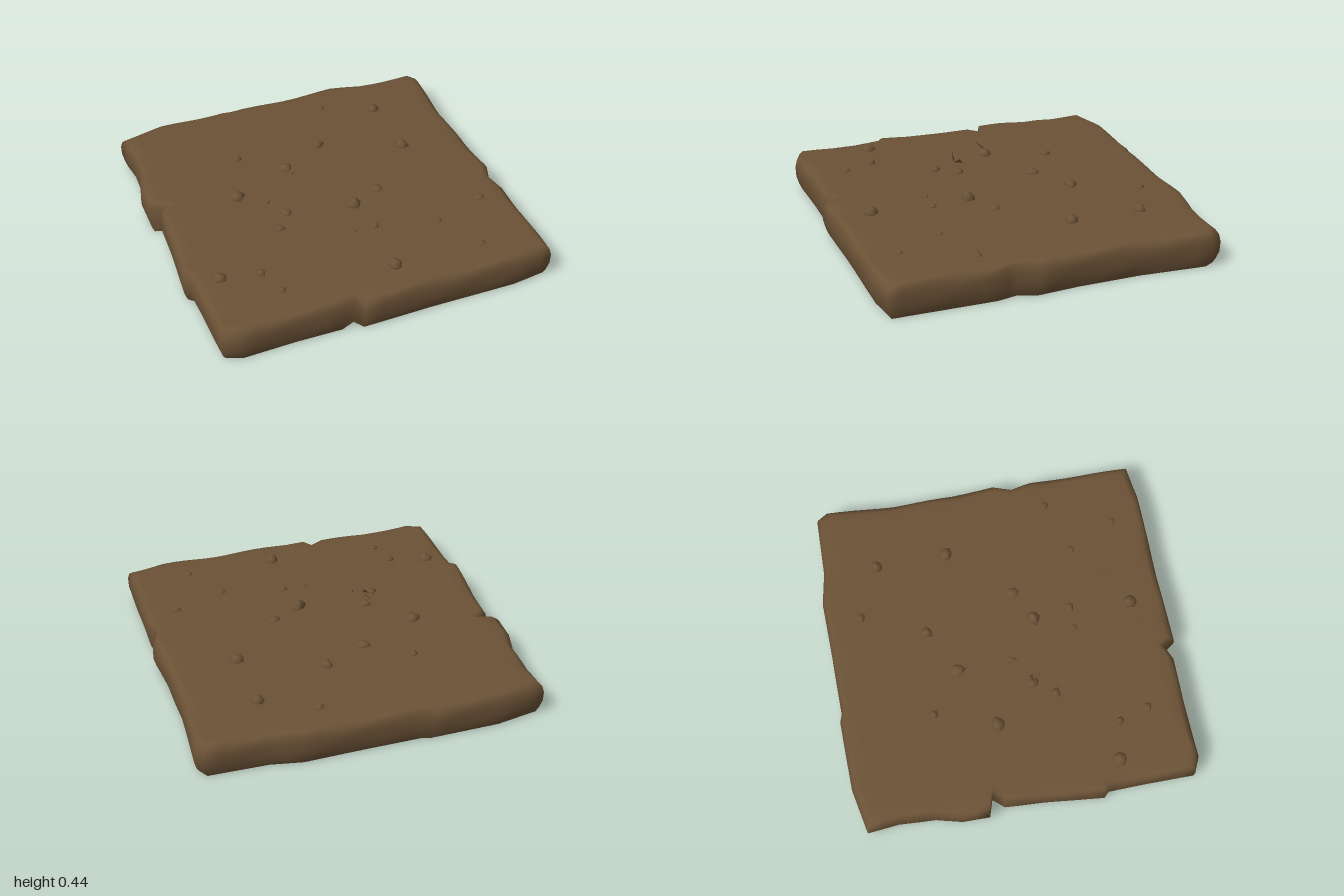
import * as THREE from 'three';

// Outline of the slab as x, z pairs, clockwise seen from above
const OUTLINE = [
  -0.97, -0.94, -0.72, -0.99, -0.31, -1, -0.26, -0.985, 0.09, -0.99, 0.43, -1, 0.62, -0.965,
  0.965, -0.96, 1, -0.9, 0.975, -0.5, 0.98, -0.13, 1, 0.12, 0.96, 0.23, 0.985, 0.35, 0.98, 0.95,
  0.78, 0.98, 0.25, 0.985, -0.16, 1, -0.2, 0.94, -0.28, 0.975, -0.55, 0.975, -0.87, 0.99,
  -0.96, 0.95, -0.97, 0.45, -1, 0.42, -0.97, 0.08, -0.955, -0.15, -0.9, -0.215, -1, -0.245,
  -1, -0.4, -0.96, -0.55, -0.95, -0.77,
];

// Clods on the surface: x, z, radius, height
const CLODS = [
  [0.28, -0.79, 0.03, 0.015], [0.58, -0.65, 0.04, 0.035], [-0.38, -0.46, 0.03, 0.02],
  [0.12, -0.42, 0.035, 0.03], [-0.14, -0.28, 0.045, 0.02], [0.59, -0.23, 0.045, 0.035],
  [-0.5, -0.11, 0.05, 0.035], [0.28, 0.11, 0.04, 0.015], [-0.29, 0.13, 0.035, 0.02],
  [0.1, 0.21, 0.045, 0.045], [-0.37, 0.25, 0.03, 0.02], [0, 0.43, 0.018, 0.01],
  [0.13, 0.43, 0.025, 0.015], [0.49, 0.51, 0.022, 0.012], [-0.82, 0.54, 0.045, 0.028],
  [-0.6, 0.58, 0.025, 0.026], [-0.55, 0.75, 0.03, 0.015], [0.1, 0.78, 0.042, 0.04],
  [0.63, 0.78, 0.022, 0.012], [0.8, 0.4, 0.03, 0.014],
];

// Thin loose splinters: three corners each
const SPLINTERS = [
  [-0.31, 0.255, 0.1, -0.27, 0.3, 0.13, -0.28, 0.28, 0.16],
  [-0.3, 0.27, 0.15, -0.26, 0.36, 0.18, -0.285, 0.3, 0.17],
  [-0.32, 0.27, 0.14, -0.28, 0.32, 0.11, -0.27, 0.3, 0.13],
  [-0.21, 0.38, 0.0, -0.2, 0.44, 0.07, -0.205, 0.37, 0.01],
  [-0.19, 0.35, 0.06, -0.17, 0.4, 0.0, -0.175, 0.36, 0.05],
  [-0.4, 0.295, 0.12, -0.37, 0.285, 0.08, -0.38, 0.28, 0.1],
];

function makeRandom(seed) {
  return () => (seed = (seed * 16807) % 2147483647) / 2147483647;
}

// Gentle waves and small dents of the top surface
function surfaceHeight(x, z) {
  const dents = Math.sin(x * 11 + z * 5) * Math.sin(z * 13 - x * 4);
  return 0.21 + 0.003 * Math.sin(x * 4 + z * 3) - 0.006 * Math.max(0, dents) * (0.5 + 0.5 * z);
}

// Split long edges so the sides can be uneven
function subdivide(flat, step) {
  const points = [];
  const n = flat.length / 2;
  for (let i = 0; i < n; i++) {
    const j = (i + 1) % n;
    const a = new THREE.Vector2(flat[i * 2], flat[i * 2 + 1]);
    const b = new THREE.Vector2(flat[j * 2], flat[j * 2 + 1]);
    const parts = Math.max(1, Math.round(a.distanceTo(b) / step));
    for (let k = 0; k < parts; k++) points.push(a.clone().lerp(b, k / parts));
  }
  return points;
}

// Loops of scale and height, joined by quads and optionally closed in the middle
function ringSurface(outline, rings, height, centreY) {
  const positions = [], index = [], n = outline.length;
  rings.forEach(([scale, y], r) => outline.forEach((p, i) => {
    const x = p.x * scale, z = p.y * scale;
    positions.push(x, height(x, z, y, r, i), z);
  }));
  for (let r = 0; r < rings.length - 1; r++) {
    for (let i = 0; i < n; i++) {
      const a = r * n + i, b = r * n + (i + 1) % n;
      index.push(a, a + n, b, b, a + n, b + n);
    }
  }
  const last = (rings.length - 1) * n;
  positions.push(0, centreY, 0);
  for (let i = 0; i < n; i++) index.push(last + i, positions.length / 3 - 1, last + (i + 1) % n);
  const geometry = new THREE.BufferGeometry();
  geometry.setAttribute('position', new THREE.Float32BufferAttribute(positions, 3));
  geometry.setIndex(index);
  geometry.computeVertexNormals();
  return geometry;
}

function makeClod([x, z, radius, height], seed, material) {
  const random = makeRandom(seed);
  const geometry = new THREE.SphereGeometry(1, 8, 5);
  const p = geometry.attributes.position;
  const wobble = Array.from({ length: 8 }, () => 0.75 + random() * 0.4);
  for (let i = 0; i < p.count; i++) {
    const k = wobble[i % 9 % 8];
    p.setXYZ(i, p.getX(i) * k, p.getY(i), p.getZ(i) * k);
  }
  geometry.scale(radius, height, radius);
  geometry.computeVertexNormals();
  const clod = new THREE.Mesh(geometry, material);
  clod.position.set(x, surfaceHeight(x, z), z);
  clod.rotation.y = random() * 6;
  clod.name = 'clod';
  return clod;
}

export function createModel() {
  const model = new THREE.Group();
  model.name = 'earthSlab';
  const earth = new THREE.MeshStandardMaterial({ color: 0x6b5236 });
  earth.name = 'brown earth';
  const splinterEarth = earth.clone();
  splinterEarth.side = THREE.DoubleSide;

  const outline = subdivide(OUTLINE, 0.08);

  // Bulging sides, rounded rim and uneven top
  const rings = [[0.972, 0], [0.985, 0.03], [0.998, 0.08], [1, 0.14], [0.992, 0.18], [0.975, 0.2]];
  for (let s = 0.95; s > 0.05; s -= 0.06) rings.push([s, 0.21]);
  const body = new THREE.Mesh(ringSurface(outline, rings, (x, z, y, r, i) => {
    if (r >= 6) return surfaceHeight(x, z);
    return r === 0 ? 0 : y + 0.006 * Math.sin(i * 0.9 + r);
  }, surfaceHeight(0, 0)), earth);
  body.name = 'slabBody';
  model.add(body);

  // Flat underside
  const base = ringSurface(outline.slice().reverse(), [[0.972, 0], [0.5, 0]], () => 0, 0);
  const underside = new THREE.Mesh(base, earth);
  underside.name = 'underside';
  model.add(underside);

  // Clods of earth scattered over the top
  const clods = new THREE.Group();
  clods.name = 'clods';
  CLODS.forEach((c, i) => clods.add(makeClod(c, 101 + i * 37, earth)));
  model.add(clods);

  // Loose splinters above the surface
  const shards = new THREE.BufferGeometry();
  shards.setAttribute('position', new THREE.Float32BufferAttribute(SPLINTERS.flat(), 3));
  shards.computeVertexNormals();
  const splinters = new THREE.Mesh(shards, splinterEarth);
  splinters.name = 'splinters';
  model.add(splinters);

  return model;
}
